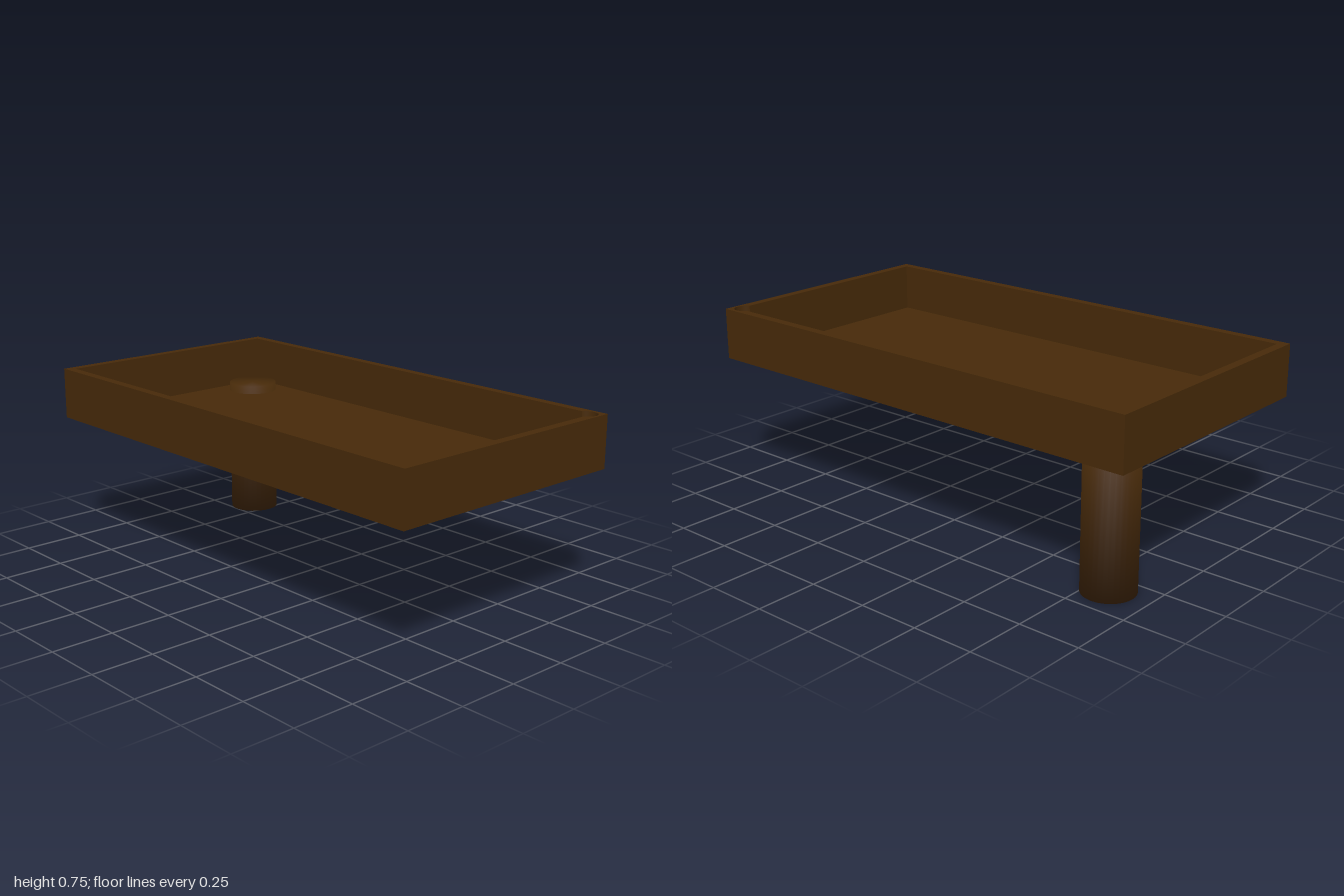
import * as THREE from 'three';

const W = 0.529, D = 1, WALL = 0.036;          // tray half sizes, wall thickness
const BOTTOM = 0.536, FLOOR = 0.551, RIM = 0.746;
const DRAIN = { x: 0.473, z: 0.948, r: 0.042 }; // corner drain

const rectangle = (w, d) => new THREE.Shape([
  new THREE.Vector2(-w, -d), new THREE.Vector2(w, -d),
  new THREE.Vector2(w, d), new THREE.Vector2(-w, d),
]);

// Extrude a plan shape (drawn in x, -z) upwards between two heights
function slab(shape, y0, y1) {
  const g = new THREE.ExtrudeGeometry(shape, { depth: y1 - y0, bevelEnabled: false, curveSegments: 32 });
  return g.rotateX(-Math.PI / 2).translate(0, y0, 0);
}

// Closed cylinder whose normals blend softly from the side into the ends
function softCylinder(r, h) {
  const g = new THREE.CylinderGeometry(r, r, h, 32);
  const p = g.attributes.position, n = new THREE.Vector3();
  for (let i = 0; i < p.count; i++) {
    n.set(p.getX(i) / r, 1.5 * Math.sign(p.getY(i)), p.getZ(i) / r).normalize();
    g.attributes.normal.setXYZ(i, n.x, n.y, n.z);
  }
  return g;
}

export function createModel() {
  const model = new THREE.Group();
  model.name = 'tray';
  const brown = new THREE.MeshStandardMaterial({ color: 0x472a09, side: THREE.DoubleSide });
  brown.name = 'dark brown';

  const add = (name, geometry) => {
    const mesh = new THREE.Mesh(geometry, brown);
    mesh.name = name;
    model.add(mesh);
  };

  // Floor with the round drain hole
  const floor = rectangle(W, D);
  floor.holes.push(new THREE.Path().absarc(DRAIN.x, -DRAIN.z, DRAIN.r, 0, Math.PI * 2, true));
  add('trayFloor', slab(floor, BOTTOM, FLOOR));

  // Walls, with the drain bore grooved into the corner
  const w = W - WALL, d = D - WALL;
  const dx = w - DRAIN.x, dz = d - DRAIN.z;
  const reachX = Math.sqrt(DRAIN.r ** 2 - dz ** 2), reachZ = Math.sqrt(DRAIN.r ** 2 - dx ** 2);
  const inner = new THREE.Path();
  inner.moveTo(-w, -d);
  inner.lineTo(DRAIN.x - reachX, -d);
  inner.absarc(DRAIN.x, -DRAIN.z, DRAIN.r, Math.atan2(-dz, -reachX), Math.atan2(reachZ, dx), false);
  inner.lineTo(w, d);
  inner.lineTo(-w, d);
  inner.closePath();
  const walls = rectangle(W, D);
  walls.holes.push(inner);
  add('trayWalls', slab(walls, FLOOR, RIM));

  // Thin open standpipe in the drain
  const pipeTop = 0.687;
  const pipe = new THREE.CylinderGeometry(DRAIN.r, DRAIN.r, pipeTop - BOTTOM, 32, 1, true);
  add('drainPipe', pipe.translate(DRAIN.x, (pipeTop + BOTTOM) / 2, DRAIN.z));

  // Single round leg, its top showing just above the floor
  const legTop = 0.586;
  add('leg', softCylinder(0.104, legTop).translate(0.353, legTop / 2, -0.83));

  return model;
}
